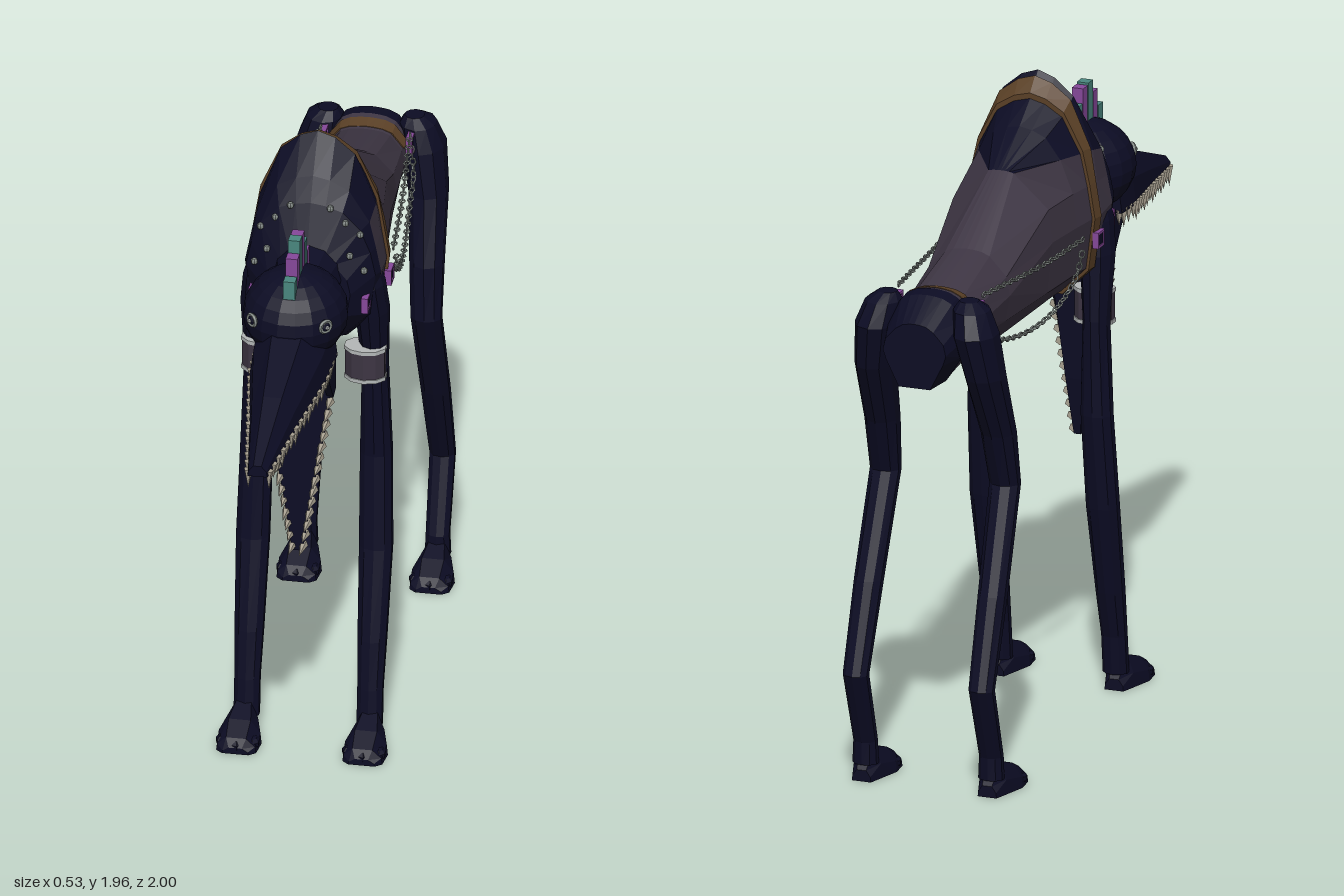
import * as THREE from 'three';

const mat = (name, color, side = THREE.FrontSide) => {
  const m = new THREE.MeshStandardMaterial({ color, side });
  m.name = name;
  return m;
};
const lerp = THREE.MathUtils.lerp;

// Non-indexed geometry with one normal per face
function faceted(g) {
  const f = g.index ? g.toNonIndexed() : g;
  f.computeVertexNormals();
  return f;
}

// Skin of quads through rings that turn counter-clockwise about the travel direction
function loft(rings, { closed = true, caps = true, keep = () => true } = {}) {
  const pos = [], n = rings[0].length;
  const tri = (...p) => p.forEach(v => pos.push(...v));
  for (let i = 0; i < rings.length - 1; i++) {
    for (let j = 0; j < (closed ? n : n - 1); j++) {
      if (!keep(i, j)) continue;
      const k = (j + 1) % n, [a, b, c, d] = [rings[i][j], rings[i][k], rings[i + 1][k], rings[i + 1][j]];
      tri(a, b, c);
      tri(a, c, d);
    }
  }
  if (caps) {
    const e = rings[rings.length - 1];
    for (let j = 1; j < n - 1; j++) {
      tri(rings[0][0], rings[0][j + 1], rings[0][j]);
      tri(e[0], e[j], e[j + 1]);
    }
  }
  const g = new THREE.BufferGeometry();
  g.setAttribute('position', new THREE.Float32BufferAttribute(pos, 3));
  return faceted(g);
}

// Torso stations: z, top, cape edge height, cape edge half width, half width, bottom
const torso = [
  [-1, 1.48, 1.46, .06, .1, 1.28], [-.9, 1.54, 1.52, .08, .125, 1.28],
  [-.85, 1.545, 1.525, .08, .125, 1.29], [-.78, 1.53, 1.515, .075, .12, 1.295],
  [-.57, 1.58, 1.565, .07, .135, 1.29], [-.3, 1.74, 1.735, .04, .165, 1.295],
  [-.15, 1.83, 1.74, .13, .185, 1.3], [-.05, 1.9, 1.735, .165, .2, 1.3],
  [0, 1.96, 1.73, .175, .205, 1.3], [.08, 1.85, 1.71, .17, .205, 1.32],
  [.12, 1.78, 1.7, .15, .195, 1.34], [.18, 1.64, 1.61, .08, .13, 1.36],
];
function torsoRing([z, top, yS, wS, w, bot], s = 1) {
  const yM = bot + .55 * (Math.min(top, 1.73) - bot);
  const half = [[0, bot], [w * .5, bot], [w * .9, bot + .08], [w, yM], [w * .92, (yM + yS) / 2],
    [wS, yS], [wS * .64, lerp(yS, top, .7)], [wS * .3, lerp(yS, top, .92)]];
  const ring = [...half, [0, top], ...half.slice(1).reverse().map(([x, y]) => [-x, y])];
  return ring.map(([x, y]) => [x * s, 1.5 + (y - 1.5) * s, z]);
}
function torsoAt(z) {
  const i = torso.findIndex(t => t[0] >= z), a = torso[i - 1], b = torso[i];
  return a.map((v, k) => lerp(v, b[k], (z - a[0]) / (b[0] - a[0])));
}

export function createModel() {
  const model = new THREE.Group();
  model.name = 'longJawedBeast';
  const hide = mat('midnight hide', 0x0c0c24), cape = mat('dusky cape', 0x3d3543);
  const leather = mat('brown leather', 0x5a4026), bone = mat('bone', 0xaaa292);
  const metal = mat('dull metal', 0x7f8682), pale = mat('pale trim', 0xb4b8b8);
  const purple = mat('purple', 0x86489a), teal = mat('teal', 0x4a877f);

  function add(name, geo, material, pos = [0, 0, 0], parent = model) {
    const m = new THREE.Mesh(faceted(geo), material);
    m.name = name;
    m.position.set(...pos);
    parent.add(m);
    return m;
  }

  // Torso, split into bare hide and cape
  const rings = torso.map(t => torsoRing(t));
  const isCape = (i, j) => {
    const z = torso[i][0];
    return z > -.86 && z < .07 && (j < 5 || j > 10 || z < -.31);
  };
  add('torso', loft(rings, { keep: (i, j) => !isCape(i, j) }), hide);
  add('cape', loft(rings, { keep: isCape, caps: false }), cape);

  // Straps hugging the torso
  const strap = (name, z, cut) => {
    const r = [[z - .02, 1], [z - .02, 1.045], [z + .02, 1.045], [z + .02, 1]]
      .map(([zz, s]) => { const q = torsoRing(torsoAt(zz), s); return cut ? q.slice(4, 13) : q; });
    add(name, loft(r, { closed: !cut, caps: false }), leather);
  };
  strap('girthStrap', -.045, false);
  strap('rumpStrap', -.81, true);

  // Neck and head
  const neck = new THREE.CylinderGeometry(.085, .12, .16, 12);
  neck.rotateX(Math.PI / 2);
  add('neck', neck, hide, [0, 1.56, .18]);
  const skull = new THREE.SphereGeometry(1, 18, 12);
  skull.scale(.157, .14, .165);
  add('skull', skull, hide, [0, 1.55, .365]);

  // Upper jaw: z, half width, bottom, top
  add('upperJaw', loft([[.36, .125, 1.41, 1.6], [.5, .115, 1.395, 1.555], [.75, .07, 1.365, 1.47], [1, .03, 1.34, 1.375]]
    .map(([z, w, b, t]) => [[-w, b], [w, b], [w * .9, lerp(b, t, .5)], [w * .4, t], [-w * .4, t], [-w * .9, lerp(b, t, .5)]]
      .map(([x, y]) => [x, y, z]))), hide);
  // Lower jaw, hanging open: y, half width, back, front
  add('lowerJaw', loft([[.72, .016, .315, .338], [.9, .042, .29, .338], [1.2, .095, .275, .33], [1.39, .1, .27, .315]]
    .map(([y, w, b, f]) => [[w, y, f], [w * .65, y, b], [-w * .65, y, b], [-w, y, f]])), hide);

  // Mohawk of alternating blocks
  [[.46, 1.71], [.418, 1.765], [.378, 1.805], [.337, 1.8], [.296, 1.755], [.256, 1.705]].forEach(([z, top], i) =>
    add('crestBlock', new THREE.BoxGeometry(.036, top - 1.64, .036), i % 2 ? purple : teal, [0, (top + 1.64) / 2, z]));

  // Limb through points from the ground up: y, z, half depth, x, half width
  const limb = (name, pts, s) => add(name, loft(pts.map(([y, z, d, x, w]) =>
    Array.from({ length: 10 }, (_, k) => {
      const a = k / 10 * Math.PI * 2;
      return [s * x + Math.sin(a) * w, y, z + Math.cos(a) * d];
    }))), hide);
  const foreLeg = [[.05, .16, .035, .185, .04], [.17, .147, .034, .185, .04], [.32, .115, .042, .185, .045],
    [.6, .055, .04, .185, .052], [.9, .02, .042, .18, .05], [1.2, .022, .05, .177, .04],
    [1.4, .045, .066, .172, .052], [1.5, .06, .07, .165, .048], [1.58, .065, .04, .155, .035]];
  const hindLeg = [[.05, -.885, .033, .2, .04], [.12, -.885, .033, .2, .037], [.35, -.963, .034, .2, .04],
    [.62, -.865, .042, .197, .045], [.93, -.748, .04, .19, .048], [1.1, -.787, .06, .185, .053],
    [1.3, -.868, .08, .175, .06], [1.44, -.895, .09, .155, .068], [1.51, -.89, .065, .14, .055], [1.535, -.885, .03, .13, .03]];

  const chain = (name, pts, count, s) => {
    const curve = new THREE.CatmullRomCurve3(pts.map(([x, y, z]) => new THREE.Vector3(s * x, y, z)));
    const group = new THREE.Group();
    group.name = name;
    model.add(group);
    for (let i = 0; i <= count; i++) {
      const p = curve.getPointAt(i / count), t = curve.getTangentAt(i / count);
      const link = new THREE.TorusGeometry(.0085, .0028, 4, 7);
      link.scale(1.35, 1, 1);
      link.rotateX(i % 2 ? Math.PI / 2 : 0);
      const m = add('chainLink', link, metal, p.toArray(), group);
      m.quaternion.setFromUnitVectors(new THREE.Vector3(1, 0, 0), t);
    }
  };

  for (const s of [1, -1]) {
    limb('frontLeg', foreLeg, s);
    limb('hindLeg', hindLeg, s);

    // Paws: offset, half width, height
    for (const [x, z0] of [[.19, .13], [.2, -.92]]) {
      const paw = [[0, .03, .035], [.05, .045, .1], [.12, .066, .075], [.18, .06, .045], [.197, .04, .02]];
      add('paw', loft(paw.map(([z, w, h]) => [[-w, 0], [w, 0], [w * .95, h * .45], [w * .5, h], [-w * .5, h], [-w * .95, h * .45]]
        .map(([px, y]) => [s * x + px, y, z0 + z]))), hide);
      for (const t of [-1, 0, 1]) {
        const toe = new THREE.SphereGeometry(1, 7, 5);
        toe.scale(.022, .02, .03);
        add('toe', toe, hide, [s * x + t * .045, .02, z0 + .17 - Math.abs(t) * .02]);
      }
    }

    // Eyes: pale ring around a dark pupil
    const eye = new THREE.Group();
    eye.name = 'eye';
    eye.position.set(s * .108, 1.572, .478);
    eye.rotation.y = s * .75;
    model.add(eye);
    add('eyeRing', new THREE.TorusGeometry(.018, .006, 5, 12), metal, [0, 0, .004], eye);
    add('eyeball', new THREE.SphereGeometry(.02, 10, 6), hide, [0, 0, -.006], eye);
    add('eyeGlint', new THREE.SphereGeometry(.007, 6, 4), pale, [0, 0, .014], eye);

    // Cheek skin at the jaw hinge
    const flap = new THREE.Shape([[.28, 1.43], [.45, 1.41], [.32, 1.24], [.28, 1.25]].map(p => new THREE.Vector2(...p)));
    const cheek = new THREE.ExtrudeGeometry(flap, { depth: .02, bevelEnabled: false });
    cheek.rotateY(-Math.PI / 2);
    add('cheek', cheek, hide, [s * .095 + .01, 0, 0]);

    // Teeth along both jaws
    for (let i = 0; i < 17; i++) {
      const t = i / 16, len = .05 + .014 * ((i * 5) % 3) / 2;
      const z = lerp(.37, .98, t), w = z < .5 ? .112 : lerp(.11, .028, (z - .5) / .5);
      const up = new THREE.ConeGeometry(.014, len, 5);
      up.rotateX(Math.PI);
      add('upperTooth', up, bone, [s * w, lerp(1.41, 1.345, t) - len / 2 + .008, z]);
      if (i > 13) continue;
      const q = i / 13, y = lerp(1.23, .735, q), low = new THREE.ConeGeometry(.014, len + .01, 5);
      low.rotateX(Math.PI / 2);
      add('lowerTooth', low, bone, [s * lerp(.096, .016, q), y, .328 + len / 2]);
    }

    // Armlet with pale rims
    const cuff = new THREE.CylinderGeometry(1, 1, .1, 10);
    cuff.scale(.062, 1, .046);
    add('armlet', cuff, cape, [s * .155, 1.228, .063]);
    for (const y of [1.18, 1.276]) {
      const rim = new THREE.CylinderGeometry(1, 1, .012, 10);
      rim.scale(.065, 1, .049);
      add('armletRim', rim, pale, [s * .155, y, .063]);
    }

    // Square buckles
    for (const [x, y, z] of [[.208, 1.47, -.04], [.17, 1.47, .14], [.13, 1.48, -.808]]) {
      add('buckleCore', new THREE.BoxGeometry(.014, .036, .036), hide, [s * x, y, z]);
      for (const d of [-.021, .021]) {
        add('buckleBar', new THREE.BoxGeometry(.02, .008, .05), purple, [s * x, y + d, z]);
        add('buckleBar', new THREE.BoxGeometry(.02, .05, .008), purple, [s * x, y, z + d]);
      }
    }

    // Chest studs
    for (const [x, y, z] of [[.105, 1.725, .125], [.125, 1.635, .16], [.06, 1.77, .125], [.15, 1.69, .125], [.165, 1.58, .145]])
      add('stud', new THREE.SphereGeometry(.011, 7, 5), metal, [s * x, y, z]);

    // Side chains, one taut and one slack
    chain('tautChain', [[.2, 1.5, -.15], [.178, 1.5, -.4], [.135, 1.52, -.78]], 30, s);
    chain('slackChain', [[.205, 1.46, -.165], [.2, 1.4, -.2], [.19, 1.345, -.32], [.175, 1.325, -.48], [.155, 1.345, -.66],
      [.145, 1.39, -.78], [.135, 1.46, -.805]], 40, s);
  }
  return model;
}
